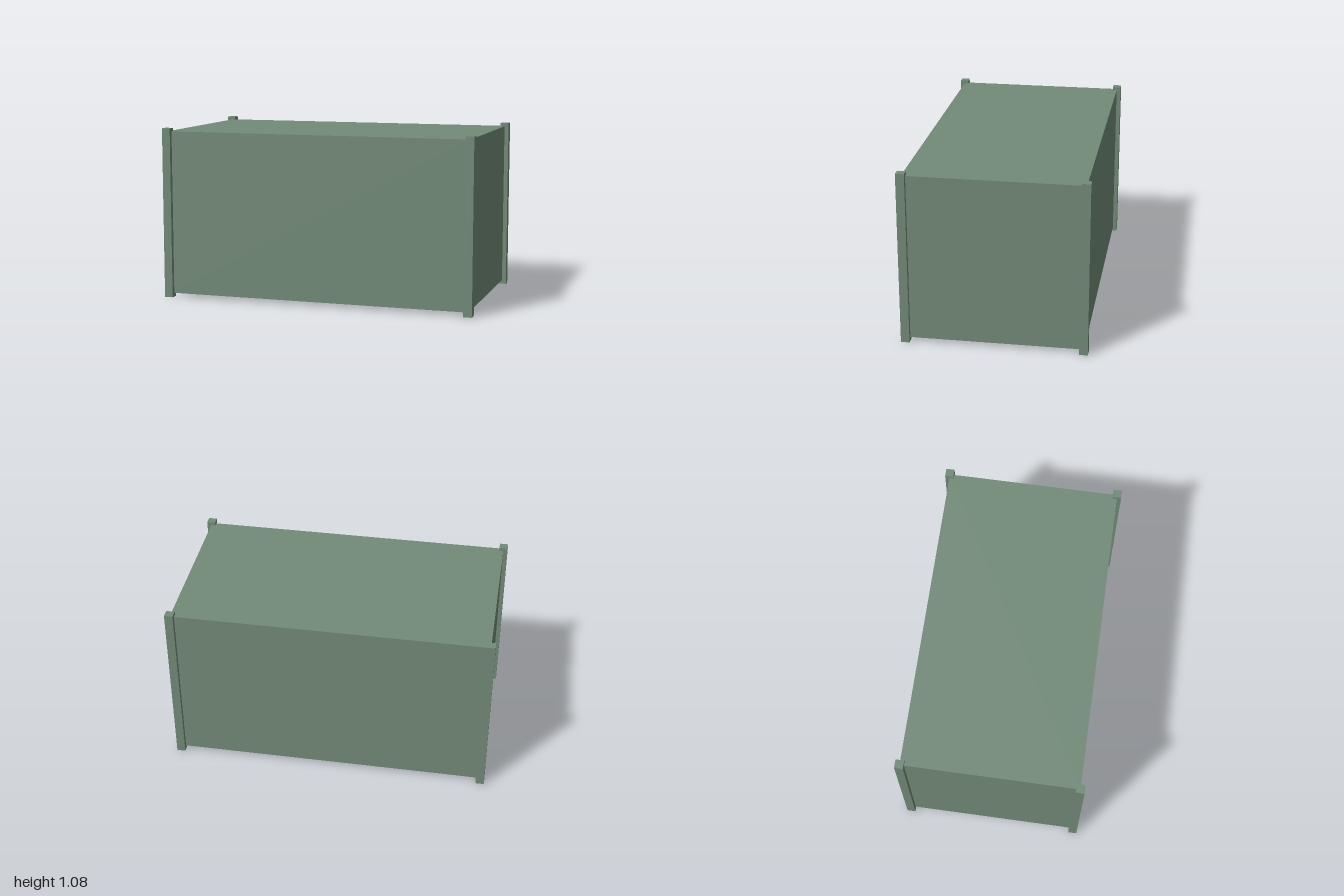
import * as THREE from 'three';

const HALF_X = 0.973, HALF_Z = 0.54;   // post centre lines, where the panels sit
const BOTTOM = 0.024, TOP = 1.06;      // panel extents in height
const POST = 0.053, POST_HEIGHT = 1.08;

export function createModel() {
  const model = new THREE.Group();
  model.name = 'container';
  const paint = new THREE.MeshStandardMaterial({ color: 0x738b79, side: THREE.DoubleSide });
  paint.name = 'greyGreen';

  const add = (name, geometry, x, y, z) => {
    const mesh = new THREE.Mesh(geometry, paint);
    mesh.name = name;
    mesh.position.set(x, y, z);
    model.add(mesh);
    return mesh;
  };

  // Four corner posts, slightly taller than the panels
  const post = new THREE.BoxGeometry(POST, POST_HEIGHT, POST);
  for (const [sx, side] of [[1, 'Left'], [-1, 'Right']])
    for (const [sz, end] of [[1, 'front'], [-1, 'back']])
      add(`${end}${side}Post`, post, sx * HALF_X, POST_HEIGHT / 2, sz * HALF_Z);

  // Thin wall sheets between the posts; the underside is open
  const height = TOP - BOTTOM, midY = (TOP + BOTTOM) / 2;
  const longWall = new THREE.PlaneGeometry(2 * HALF_X, height);
  const endWall = new THREE.PlaneGeometry(2 * HALF_Z, height);
  add('frontWall', longWall, 0, midY, HALF_Z);
  add('backWall', longWall, 0, midY, -HALF_Z).rotation.y = Math.PI;
  add('leftWall', endWall, HALF_X, midY, 0).rotation.y = Math.PI / 2;
  add('rightWall', endWall, -HALF_X, midY, 0).rotation.y = -Math.PI / 2;

  // Flat roof sheet
  add('roof', new THREE.PlaneGeometry(2 * HALF_X, 2 * HALF_Z), 0, TOP, 0).rotation.x = -Math.PI / 2;

  return model;
}
